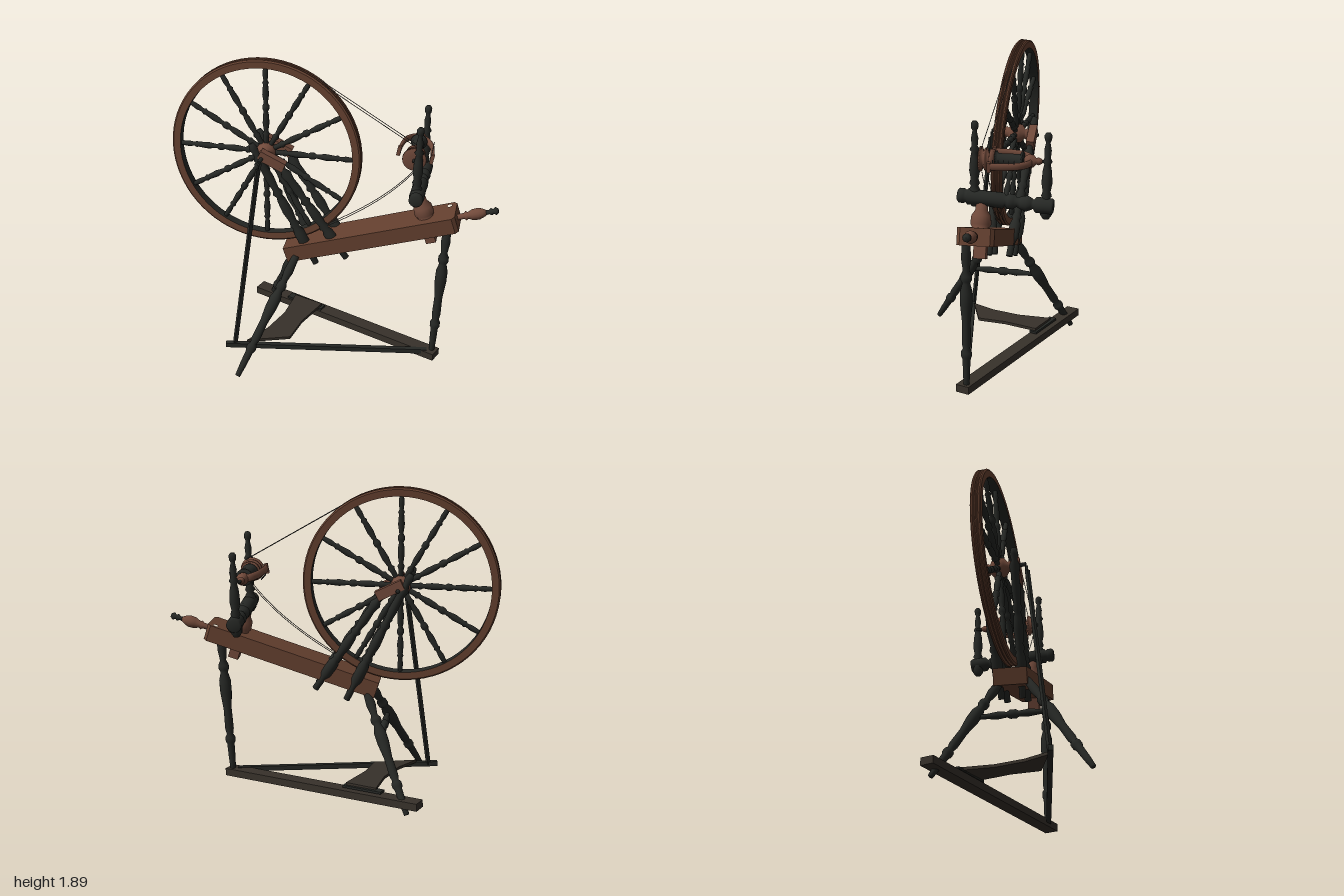
import * as THREE from 'three';

const V = (x, y, z) => new THREE.Vector3(x, y, z);
const mat = (name, hex, side = THREE.FrontSide) => {
  const m = new THREE.MeshStandardMaterial({ color: hex, side });
  m.name = name;
  return m;
};

export function createModel() {
  const root = new THREE.Group();
  root.name = 'spinningWheel';
  const red = mat('reddishWood', 0x64402f);
  const worn = mat('wornWood', 0x70493a);
  const black = mat('ebonisedWood', 0x262825);
  const dark = mat('darkBrownWood', 0x37312a);
  const cord = mat('cord', 0x4c4a46);

  const add = (name, geo, m, parent = root) => {
    const mesh = new THREE.Mesh(geo, m);
    mesh.name = name;
    parent.add(mesh);
    return mesh;
  };

  // Lathe-turned piece from a to b; profile is [fraction along, radius]
  const turned = (name, a, b, profile, m, parent = root, segs = 14) => {
    const len = a.distanceTo(b);
    const pts = profile.map(([t, r]) => new THREE.Vector2(r, t * len));
    pts.unshift(new THREE.Vector2(0, pts[0].y));
    pts.push(new THREE.Vector2(0, pts[pts.length - 1].y));
    const mesh = add(name, new THREE.LatheGeometry(pts, segs), m, parent);
    mesh.position.copy(a);
    mesh.quaternion.setFromUnitVectors(V(0, 1, 0), b.clone().sub(a).normalize());
    return mesh;
  };

  // Rectangular bar from a to b
  const beam = (name, a, b, h, w, m, parent = root) => {
    const d = b.clone().sub(a);
    const mesh = add(name, new THREE.BoxGeometry(d.length(), h, w), m, parent);
    const x = d.normalize(), z = x.clone().cross(V(0, 1, 0)).normalize();
    mesh.quaternion.setFromRotationMatrix(new THREE.Matrix4().makeBasis(x, z.clone().cross(x), z));
    mesh.position.copy(a).add(b).multiplyScalar(0.5);
    return mesh;
  };

  // Flat plate from an (x, z) outline, bottom at y = 0
  const plate = (outline, depth, hole) => {
    const s = new THREE.Shape(outline.map(([x, z]) => new THREE.Vector2(x, -z)));
    if (hole) s.holes.push(new THREE.Path().absarc(hole[0], -hole[1], hole[2], 0, Math.PI * 2, true));
    return new THREE.ExtrudeGeometry(s, { depth, bevelEnabled: false }).rotateX(-Math.PI / 2);
  };

  // Sloping bench with a small peg hole
  const bench = new THREE.Group();
  bench.name = 'bench';
  bench.position.set(0.2435, 0.824, -0.045);
  bench.rotation.z = 0.304;
  root.add(bench);
  const slab = [[-0.545, 0.1], [-0.545, -0.1], [0.525, -0.105], [0.545, -0.085], [0.545, 0.085], [0.525, 0.105]];
  add('benchSlab', plate(slab, 0.1, [0.5, -0.07, 0.014]), red, bench).position.y = -0.05;

  // End handle with a dark tip
  turned('handle', V(0.75, 0.985, -0.045), V(0.93, 1.038, -0.045),
    [[0, 0.018], [0.28, 0.018], [0.34, 0.028], [0.4, 0.02], [0.55, 0.033], [0.75, 0.036], [0.9, 0.026], [1, 0.015]], worn);
  turned('handleTip', V(0.925, 1.036, -0.045), V(1.0, 1.058, -0.045),
    [[0, 0.016], [0.25, 0.012], [0.45, 0.022], [0.6, 0.014], [0.8, 0.024], [1, 0.012]], black);

  // Legs and stretcher
  const legProfile = [[0, 0.016], [0.1, 0.021], [0.2, 0.023], [0.22, 0.031], [0.25, 0.031], [0.27, 0.02], [0.31, 0.027],
    [0.45, 0.025], [0.57, 0.036], [0.65, 0.036], [0.71, 0.022], [0.73, 0.032], [0.76, 0.032], [0.79, 0.019], [0.87, 0.029], [1, 0.022]];
  turned('frontLeg', V(-0.505, 0, 0.45), V(-0.21, 0.66, 0.045), legProfile, black);
  turned('backLeg', V(-0.495, 0, -0.44), V(-0.21, 0.66, -0.11), legProfile, black);
  turned('endLeg', V(0.65, 0.03, 0.03), V(0.71, 0.96, 0.015), legProfile, black);
  turned('stretcher', V(-0.315, 0.415, 0.2), V(-0.315, 0.4, -0.235),
    [[0, 0.014], [0.15, 0.015], [0.3, 0.022], [0.42, 0.016], [0.46, 0.026], [0.54, 0.026], [0.58, 0.016], [0.7, 0.022], [0.85, 0.015], [1, 0.014]], black);

  // Treadle: floor bar, rod and foot board
  beam('floorBar', V(-0.57, 0.066, -0.445), V(0.68, 0.03, 0.05), 0.046, 0.085, dark);
  beam('treadleRod', V(-0.63, 0.075, 0.24), V(0.62, 0.045, 0.04), 0.03, 0.03, black);
  const board = [[-0.5, 0.21], [-0.24, 0.13], [-0.2, -0.05], [-0.11, -0.26], [-0.3, -0.33], [-0.33, -0.12], [-0.4, 0.06]];
  const foot = add('footBoard', plate(board, 0.018), dark);
  foot.position.y = 0.088;
  foot.rotation.x = 0.02;
  beam('treadleHinge', V(-0.34, 0.095, -0.34), V(-0.1, 0.088, -0.245), 0.014, 0.05, black);

  // Drive wheel
  const wheel = new THREE.Group();
  wheel.name = 'driveWheel';
  wheel.position.set(-0.41, 1.3, -0.085);
  wheel.rotation.set(-0.06, -0.045, 0);
  root.add(wheel);
  const ring = (pts) => {
    const out = [];
    // each face is its own pair of points so the edges stay sharp
    for (let i = 0; i < pts.length - 1; i++) {
      const [a, b] = [pts[i], pts[i + 1]].map(p => new THREE.Vector2(p[0], p[1]));
      out.push(new THREE.LatheGeometry([a, b], 72).rotateX(Math.PI / 2));
    }
    return out;
  };
  const rimSection = [[0.535, -0.03], [0.576, -0.031], [0.585, -0.024], [0.585, -0.016], [0.573, -0.009], [0.585, -0.003],
    [0.585, 0.003], [0.573, 0.009], [0.585, 0.016], [0.585, 0.024], [0.576, 0.031], [0.535, 0.03]];
  ring(rimSection).forEach(g => add('rim', g, red, wheel));
  ring([[0.535, 0.03], [0.535, -0.03]]).forEach(g => add('rimInside', g, black, wheel));
  const spoke = [[0, 0.015], [0.14, 0.016], [0.17, 0.022], [0.2, 0.013], [0.3, 0.02], [0.4, 0.018], [0.45, 0.013], [0.48, 0.021],
    [0.52, 0.021], [0.55, 0.012], [0.66, 0.02], [0.78, 0.015], [0.8, 0.02], [0.83, 0.012], [0.9, 0.017], [1, 0.013]];
  for (let i = 0; i < 12; i++) {
    const a = i * Math.PI / 6, c = Math.cos(a), s = Math.sin(a);
    turned('spoke', V(0.03 * c, 0.03 * s, 0), V(0.54 * c, 0.54 * s, 0), spoke, black, wheel, 10);
  }
  turned('hub', V(0, 0, -0.085), V(0, 0, 0.085),
    [[0, 0.028], [0.12, 0.036], [0.18, 0.028], [0.3, 0.056], [0.5, 0.062], [0.7, 0.056], [0.82, 0.028], [0.88, 0.036], [1, 0.028]], worn, wheel, 20);
  turned('axle', V(0, 0, -0.14), V(0, 0, 0.16), [[0, 0.012], [1, 0.012]], black, wheel, 10);

  // Crank and footman rod
  beam('crank', V(-0.41, 1.3, 0.075), V(-0.425, 1.21, 0.08), 0.014, 0.014, black);
  beam('footman', V(-0.575, 0.07, 0.228), V(-0.425, 1.26, 0.083), 0.024, 0.018, black);

  // Wheel posts with braces, one pair each side of the wheel
  const post = [[0, 0.02], [0.12, 0.021], [0.16, 0.034], [0.27, 0.034], [0.31, 0.022], [0.33, 0.032], [0.36, 0.022], [0.45, 0.032],
    [0.54, 0.027], [0.57, 0.019], [0.6, 0.032], [0.63, 0.02], [0.72, 0.028], [0.82, 0.024], [0.88, 0.033], [0.92, 0.018], [0.96, 0.026], [1, 0.016]];
  for (const [side, zTop, zLow] of [['front', 0.01, 0], ['back', -0.19, -0.125]]) {
    turned(side + 'WheelPost', V(-0.095, 0.595, zLow), V(-0.48, 1.39, zTop), post, black);
    turned(side + 'WheelBrace', V(0.095, 0.655, zLow), V(-0.32, 1.28, zTop), post, black);
    beam(side + 'AxleBlock', V(-0.43, 1.33, zTop), V(-0.28, 1.255, zTop), 0.06, 0.05, worn);
  }

  // Tension support: collar above the bench and square peg through it
  turned('tensionCollar', V(0.583, 0.93, -0.04), V(0.525, 1.12, -0.04),
    [[0, 0.066], [0.18, 0.068], [0.26, 0.048], [0.36, 0.06], [0.6, 0.056], [0.75, 0.036], [1, 0.032]], worn, root, 20);
  beam('tensionPeg', V(0.613, 0.81, -0.045), V(0.575, 0.93, -0.045), 0.062, 0.072, worn);

  // Cross bar carrying the two upright maidens
  turned('crossBar', V(0.52, 1.15, 0.1), V(0.52, 1.108, -0.445),
    [[0, 0.03], [0.02, 0.042], [0.07, 0.042], [0.09, 0.034], [0.11, 0.046], [0.3, 0.043], [0.48, 0.046], [0.5, 0.03], [0.53, 0.044],
      [0.59, 0.042], [0.62, 0.026], [0.66, 0.036], [0.72, 0.046], [0.77, 0.034], [0.79, 0.026], [0.82, 0.045], [0.98, 0.045], [1, 0.036]], black, root, 18);
  const maiden = [[0, 0.018], [0.05, 0.034], [0.12, 0.036], [0.2, 0.03], [0.24, 0.02], [0.27, 0.03], [0.32, 0.022], [0.42, 0.031],
    [0.56, 0.026], [0.64, 0.018], [0.67, 0.028], [0.71, 0.017], [0.8, 0.021], [0.89, 0.012], [0.92, 0.02], [0.97, 0.022], [1, 0.013]];
  turned('frontMaiden', V(0.512, 1.09, 0.005), V(0.525, 1.58, 0), maiden, black);
  turned('backMaiden', V(0.512, 1.035, -0.4), V(0.525, 1.53, -0.412), maiden, black);

  // Flyer with whorls, bobbin, U-shaped arms and hooks
  const flyer = new THREE.Group();
  flyer.name = 'flyer';
  flyer.position.set(0.49, 1.358, 0);
  flyer.rotation.z = -0.2;
  root.add(flyer);
  turned('spindle', V(0, 0, 0), V(0, 0, -0.41), [[0, 0.009], [1, 0.009]], black, flyer, 10);
  turned('whorls', V(0, 0, -0.02), V(0, 0, -0.11),
    [[0, 0.03], [0.02, 0.07], [0.14, 0.072], [0.24, 0.045], [0.36, 0.064], [0.48, 0.064], [0.6, 0.03], [0.7, 0.058], [0.95, 0.058], [1, 0.03]], worn, flyer, 24);
  turned('bobbin', V(0, 0, -0.11), V(0, 0, -0.27),
    [[0, 0.05], [0.06, 0.05], [0.1, 0.036], [0.88, 0.036], [0.92, 0.05], [1, 0.05]], black, flyer, 20);
  turned('flyerNose', V(0, 0, -0.275), V(0, 0, -0.375),
    [[0, 0.024], [0.2, 0.036], [0.5, 0.036], [0.65, 0.018], [0.8, 0.022], [1, 0.011]], worn, flyer);
  const arch = new THREE.CatmullRomCurve3([V(-0.1, 0, -0.09), V(-0.093, 0, -0.18), V(-0.075, 0, -0.26), V(-0.035, 0, -0.31),
    V(0.035, 0, -0.31), V(0.075, 0, -0.26), V(0.093, 0, -0.18), V(0.1, 0, -0.09)]);
  add('flyerArms', new THREE.TubeGeometry(arch, 32, 0.012, 8), worn, flyer).scale.y = 1.9;
  for (const s of [-1, 1]) {
    beam('armEnd', V(s * 0.1, 0, -0.1), V(s * 0.1, 0, -0.08), 0.06, 0.022, worn, flyer);
    for (let i = 0; i < 5; i++) {
      beam('hook', V(s * 0.09, 0.02 * s, -0.11 - i * 0.03), V(s * 0.09, 0.04 * s, -0.112 - i * 0.03), 0.004, 0.004, cord, flyer);
    }
  }

  // Doubled drive cord, the lower run slightly slack
  for (const dz of [0, -0.03]) {
    const top = new THREE.LineCurve3(V(-0.1, 1.79, -0.085 + dz), V(0.525, 1.42, -0.035 + dz));
    const low = new THREE.QuadraticBezierCurve3(V(-0.08, 0.82, -0.035 + dz), V(0.32, 1.04, -0.035 + dz), V(0.5, 1.285, -0.035 + dz));
    add('driveCord', new THREE.TubeGeometry(top, 1, 0.0022, 5), cord);
    add('driveCord', new THREE.TubeGeometry(low, 16, 0.0022, 5), cord);
  }
  return root;
}
